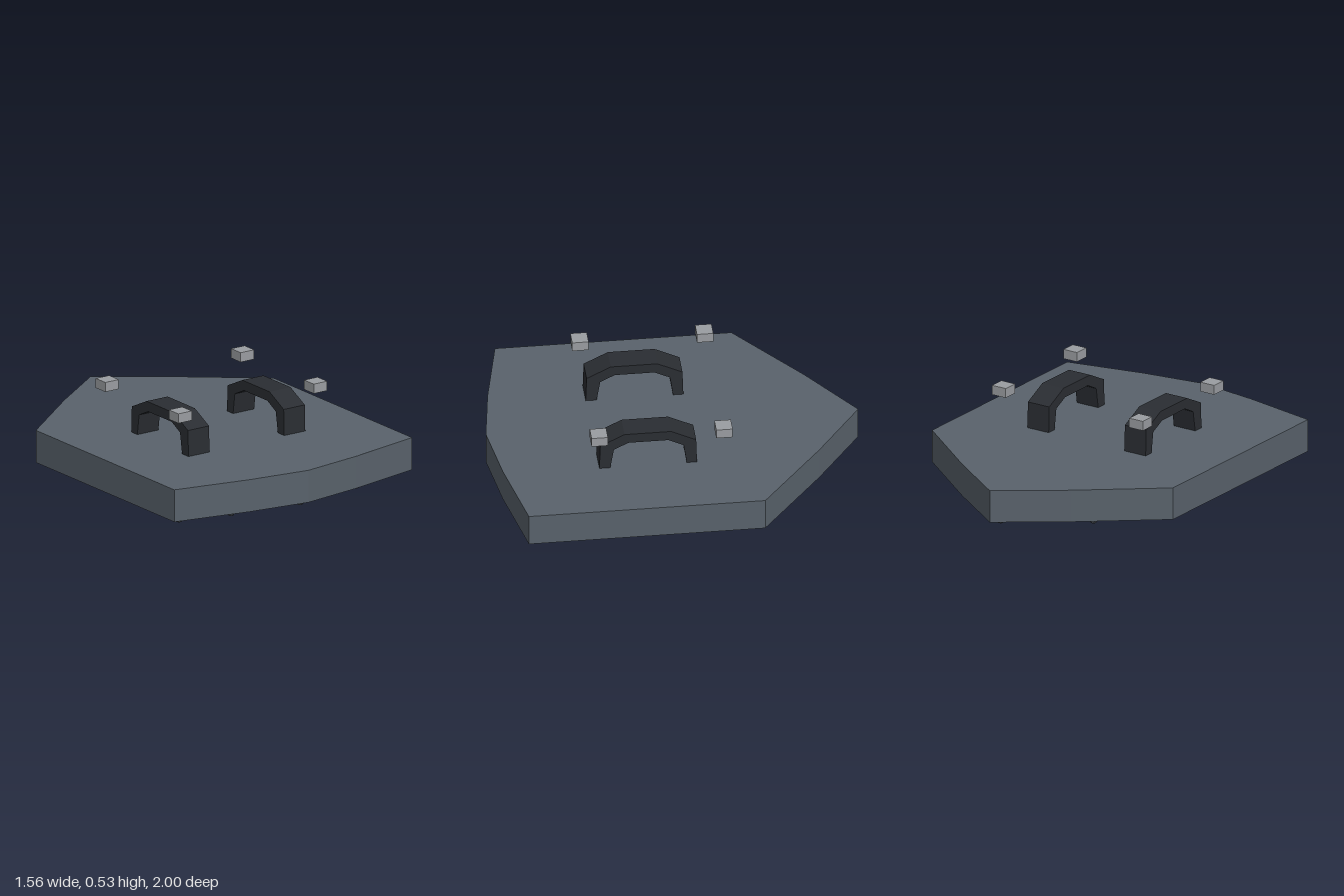
import * as THREE from 'three';

const { lerp } = THREE.MathUtils;
const material = (color) => new THREE.MeshStandardMaterial({ color, flatShading: true });
const plateMat = material(0x59626b);
const darkMat = material(0x2a2d32);
const slatMat = material(0x191a1c);
const boltMat = material(0x5a6068);
const blockMat = material(0x9a9da1);

// half outlines as [x, z], from the centre line to the side
const backEdge = [[0, -1], [0.35, -0.75], [0.78, -0.41]];
const frontEdge = [[0, 1], [0.35, 0.95], [0.78, 0.86]];
const INNER = 0.82;

function outline(s) {
  const half = [...backEdge, ...[...frontEdge].reverse()];
  const other = half.slice(1, -1).reverse().map(([x, z]) => [-x, z]);
  return [...half, ...other].map(([x, z]) => new THREE.Vector2(x * s, -z * s));
}

// z of an outline edge at a given x, scaled by s
function edgeZ(edge, x, s) {
  const ax = Math.abs(x) / s;
  const i = ax < edge[1][0] ? 0 : 1;
  const [a, b] = [edge[i], edge[i + 1]];
  return s * lerp(a[1], b[1], (ax - a[0]) / (b[0] - a[0]));
}

// flat slab lying between two heights
function slab(shape, y0, y1) {
  const geo = new THREE.ExtrudeGeometry(shape, { depth: y1 - y0, bevelEnabled: false });
  return geo.rotateX(-Math.PI / 2).translate(0, y0, 0);
}

// curved plank filling a strip of the recess, from v0 to v1 of its length
function slat([x0, y0, x1, y1], v0, v1, drop) {
  const geo = new THREE.BoxGeometry(1, 1, 1, 2, 1, 4);
  const p = geo.attributes.position;
  for (let i = 0; i < p.count; i++) {
    const u = p.getX(i) + 0.5;
    const x = lerp(x0, x1, u);
    const z = lerp(edgeZ(backEdge, x, 0.8), edgeZ(frontEdge, x, 0.8), lerp(v0, v1, p.getZ(i) + 0.5));
    const belly = Math.min(0.115, lerp(y0, y1, u) + 0.27 * (z - 0.08) ** 2 + drop);
    p.setXYZ(i, x, p.getY(i) < 0 ? belly : 0.145, z);
  }
  geo.computeVertexNormals();
  return geo;
}

export function createModel() {
  const model = new THREE.Group();
  const add = (name, geo, mat, parent = model) => {
    const mesh = new THREE.Mesh(geo, mat);
    mesh.name = name;
    parent.add(mesh);
    return mesh;
  };
  const group = (name) => {
    const g = new THREE.Group();
    g.name = name;
    model.add(g);
    return g;
  };

  // shield body: solid back plate and an open rim below it
  add('backPlate', slab(new THREE.Shape(outline(1)), 0.14, 0.255), plateMat);
  const rim = new THREE.Shape(outline(1));
  rim.holes.push(new THREE.Path(outline(INNER)));
  add('rim', slab(rim, 0.075, 0.14), plateMat);

  // bulging face planks: left x, height, right x, height
  const slats = group('facePlanks');
  [
    [-0.62, 0.085, -0.51, 0.062],
    [-0.5, 0.055, -0.265, 0.006],
    [-0.242, 0.002, -0.008, 0.018],
    [0.012, 0.016, 0.245, 0.002],
    [0.275, 0.026, 0.5, 0.065],
    [0.515, 0.066, 0.62, 0.085],
  ].forEach((plank, i) => {
    const shift = i % 2 ? 0.05 : -0.04;
    const cuts = [0, 0.3 + shift, 0.7 + shift, 1];
    for (let k = 0; k < 3; k++) {
      add('plank', slat(plank, cuts[k] + 0.003, cuts[k + 1] - 0.003, k === 1 ? 0 : 0.004), slatMat, slats);
    }
  });

  // rivets around the rim
  const rivets = group('rivets');
  const rivetGeo = new THREE.SphereGeometry(0.028, 8, 6).scale(1, 1.2, 1);
  const side = [[0.41, 0.86], [0.7, 0.79], [0.7, 0.44], [0.7, 0.05], [0.7, -0.35], [0.41, -0.62]];
  const spots = [[0, 0.92], [0, -0.9], ...side, ...side.map(([x, z]) => [-x, z])];
  for (const [x, z] of spots) add('rivet', rivetGeo, boltMat, rivets).position.set(x, 0.073, z);

  // arched grips, profile in z and y
  const arch = [
    [0.435, 0.25], [0.43, 0.4], [0.3, 0.465], [0.05, 0.465], [-0.085, 0.4], [-0.09, 0.25],
    [-0.035, 0.25], [-0.018, 0.37], [0.065, 0.41], [0.28, 0.41], [0.357, 0.37], [0.377, 0.25],
  ].map(([z, y]) => new THREE.Vector2(-z, y));
  const gripGeo = new THREE.ExtrudeGeometry(new THREE.Shape(arch), { depth: 0.138, bevelEnabled: false });
  gripGeo.translate(0, 0, -0.069).rotateY(Math.PI / 2);

  // small blocks hovering beside each grip
  const blockGeo = new THREE.BoxGeometry(0.088, 0.053, 0.088);
  for (const s of [1, -1]) {
    add(s > 0 ? 'leftGrip' : 'rightGrip', gripGeo, darkMat).position.x = 0.314 * s;
    for (const z of [-0.225, 0.445]) add('buckle', blockGeo, blockMat).position.set(0.444 * s, 0.502, z);
  }
  return model;
}
